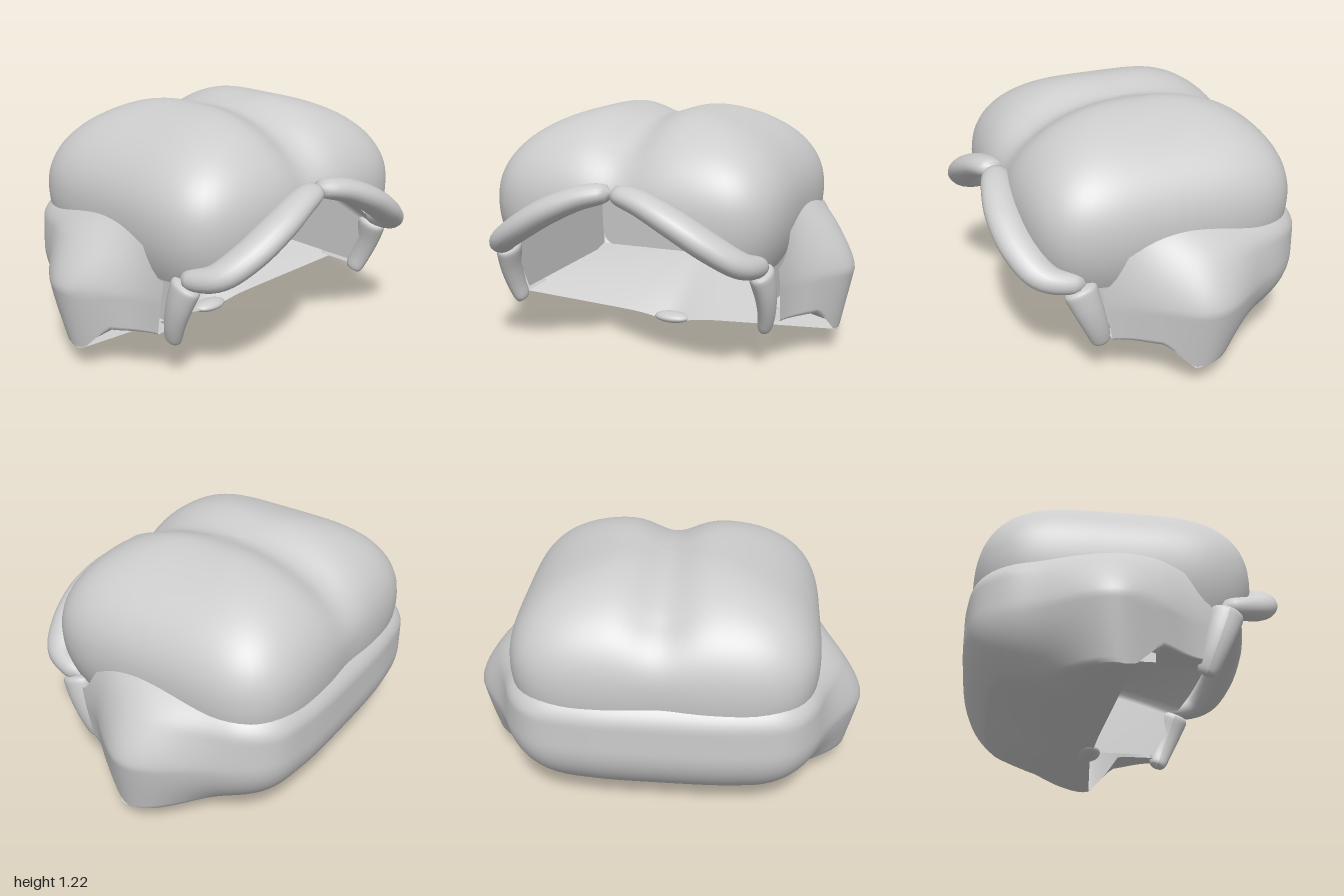
import * as THREE from 'three';

const { lerp, smoothstep, clamp } = THREE.MathUtils;
const gauss = (v, w) => Math.exp(-((v / w) ** 2));

export function createModel() {
  const group = new THREE.Group();
  const grey = new THREE.MeshStandardMaterial({ color: 0xcccccc, side: THREE.DoubleSide });
  grey.name = 'hair grey';

  const add = (name, geometry) => {
    const mesh = new THREE.Mesh(geometry, grey);
    mesh.name = name;
    group.add(mesh);
    return mesh;
  };

  // Smooth surface from a rule: fn(u, v) gives [x, y, z] for u, v in 0..1
  const grid = (fn, nu, nv) => {
    const pos = [], idx = [];
    for (let i = 0; i <= nu; i++) {
      for (let j = 0; j <= nv; j++) {
        pos.push(...fn(i / nu, j / nv));
        if (i < nu && j < nv) {
          const a = i * (nv + 1) + j, b = a + nv + 1;
          idx.push(a, a + 1, b, b, a + 1, b + 1);
        }
      }
    }
    const g = new THREE.BufferGeometry();
    g.setAttribute('position', new THREE.Float32BufferAttribute(pos, 3));
    g.setIndex(idx);
    g.computeVertexNormals();
    return g;
  };

  // Tapered strand with rounded ends along a curve; kx and kz widen its section
  const strand = (points, radius, kx, kz) => {
    const n = 36;
    const curve = new THREE.CatmullRomCurve3(points.map((p) => new THREE.Vector3(...p)));
    const frames = curve.computeFrenetFrames(n);
    return grid((u, v) => {
      const k = Math.round(u * n), a = v * Math.PI * 2;
      const r = radius(u) * Math.sqrt(Math.max(0, 1 - (2 * u - 1) ** 16));
      const p = curve.getPointAt(u);
      const o = frames.normals[k].clone().multiplyScalar(Math.cos(a) * r)
        .addScaledVector(frames.binormals[k], Math.sin(a) * r);
      return [p.x + o.x * kx, p.y + o.y, p.z + o.z * kz];
    }, n, 20);
  };

  // Crown: boxy two-lobed dome with an arched front hem
  const base = 0.76, height = 0.475;
  const crown = (u, v) => {
    const a = u * Math.PI * 2, c = Math.cos(a), s = Math.sin(a);
    const plan = (Math.abs(c) ** 4.5 + Math.abs(s) ** 4.5) ** (-1 / 4.5);
    const px = 0.765 * c * plan, pz = -0.055 + 0.695 * s * plan;
    const arch = 0.88 - 0.38 * Math.min(1, Math.abs(px) / 0.7) ** 1.3;
    const rim = lerp(0.6, arch, smoothstep(pz, 0.1, 0.3));
    const h = (rim - base) / height;
    const t = lerp(h > 0 ? Math.asin(h ** 1.1) : h, Math.PI / 2, v);
    const y = base + height * (t > 0 ? Math.sin(t) ** 0.909 : t);
    const r = t > 0 ? Math.max(0, Math.cos(t)) ** 0.909 : 1 - 0.27 * t * t;
    const x = px * r, groove = gauss(x, 0.14);
    const z = -0.055 + (pz + 0.055) * r * (1 - (s > 0 ? 0.045 : 0.015) * groove);
    return [x, y - 0.065 * groove * clamp((y - 0.8) / 0.3, 0, 1), z];
  };
  add('crown', grid(crown, 112, 40));

  // Plan outline of the lower hair, from the left temple round the back
  const half = [[0.71, 0.36], [0.735, 0.1], [0.76, -0.1], [0.755, -0.4], [0.725, -0.6], [0.62, -0.72], [0.4, -0.768]];
  const outline = new THREE.CatmullRomCurve3(
    [...half, [0, -0.78], ...half.slice().reverse().map(([x, z]) => [-x, z])]
      .map(([x, z]) => new THREE.Vector3(x, 0, z)));

  // Side and back wall, bulging at the cheeks and rounded under at the back
  const wallPoint = (u, v) => {
    const p = outline.getPointAt(u), z0 = p.z;
    const top = z0 > 0.13 ? 0.785 - 0.27 * smoothstep(z0, 0.13, 0.37) : lerp(0.69, 0.785, (z0 + 0.78) / 0.91);
    const bottom = z0 > -0.03 ? lerp(0.11, 0.24, clamp((z0 + 0.03) / 0.13, 0, 1))
      : lerp(0.11, 0.18, (-z0 - 0.03) / 0.75);
    const y = lerp(top, bottom, v);
    const rise = y > 0.42 ? Math.max(0, 1 - ((y - 0.42) / 0.36) ** 1.5) : 1 - 0.8 * (0.42 - y);
    const bulge = 0.24 * rise * gauss(z0 + 0.1, 0.32);
    const under = Math.max(0, (v - 0.45) / 0.55) ** 2.2 * smoothstep(-z0, 0.05, 0.6);
    const tuck = 1 - 0.07 * Math.max(0, 1 - v / 0.2) ** 2 * smoothstep(-z0, -0.2, 0.4);
    const forward = z0 > 0.1 ? -0.05 * v * smoothstep(z0, 0.1, 0.36) : 0;
    return [
      (p.x + Math.sign(p.x) * bulge * smoothstep(Math.abs(p.x), 0.4, 0.7)) * tuck * (1 - 0.15 * under),
      y,
      z0 * tuck * (1 - 0.17 * under) + forward,
    ];
  };

  // Front lip of the underside
  const lip = (x) => {
    const d = Math.min(1, Math.abs(x) / 0.93);
    return [x, 0.03 + 0.085 * d - 0.022 * gauss(x, 0.13), -0.12 + 0.09 * d];
  };

  // Lower hair: the wall continues into the underside, up to the lip and temples
  const split = 0.8;
  add('lowerHair', grid((u, v) => {
    if (v <= split) return wallPoint(u, v / split);
    const e = wallPoint(u, 1), w = (v - split) / (1 - split);
    const q = e[2] < -0.03 ? lip(e[0])
      : [lerp(e[0], Math.sign(e[0]) * 0.64, smoothstep(e[2], 0.06, 0.12)), e[1], e[2]];
    const sag = 0.08 * Math.sin(w * Math.PI) * Math.hypot(q[1] - e[1], Math.min(0, e[2] - q[2]));
    return [lerp(e[0], q[0], w), lerp(e[1], q[1], w) - sag, lerp(e[2], q[2], w)];
  }, 112, 40));

  // Inner floor behind the lip
  add('innerFloor', grid((u, v) => {
    const s = u * 2 - 1, f = lip(s * 0.92);
    return [lerp(s * 0.64, f[0], v), lerp(0.28, f[1], v) + 0.02 * Math.sin(v * Math.PI), lerp(-0.6, f[2], v)];
  }, 40, 10));

  // Inner lining: side walls and ceiling, opening into the arched front
  const lining = (u, v) => {
    const s = u * 2 - 1, a = Math.abs(s);
    const side = clamp((a - 0.6) / 0.4, 0, 1);
    const x = Math.sign(s) * 0.64 * Math.min(1, a / 0.6);
    const ceil = lerp(0.73, 0.86 - 0.34 * (Math.abs(x) / 0.64) ** 1.3, v * v);
    const front = lerp(0.6, 0.45, (Math.abs(x) / 0.64) ** 3) - 0.13 * side;
    return [x, lerp(ceil, 0.26, side), lerp(-0.6, front, v)];
  };
  add('lining', grid(lining, 60, 20));

  // Back wall of the hollow, leaning slightly forward
  const shape = new THREE.Shape();
  shape.moveTo(-0.56, 0.27).lineTo(0.56, 0.27).quadraticCurveTo(0.64, 0.29, 0.64, 0.38).lineTo(0.64, 0.735)
    .lineTo(-0.64, 0.735).lineTo(-0.64, 0.38).quadraticCurveTo(-0.64, 0.29, -0.56, 0.27);
  const back = add('innerBackWall', new THREE.ShapeGeometry(shape));
  back.rotation.x = 0.08;
  back.position.z = -0.62;

  // Rolled fringe and temple locks, mirrored
  for (const [side, m] of [['left', 1], ['right', -1]]) {
    const mirror = (pts) => pts.map(([x, y, z]) => [x * m, y, z]);
    add(side + 'FringeRoll', strand(
      mirror([[0.0, 0.875, 0.63], [0.15, 0.845, 0.665], [0.32, 0.77, 0.685], [0.5, 0.66, 0.66], [0.625, 0.575, 0.59], [0.685, 0.535, 0.42]]),
      (t) => 0.05 + 0.017 * Math.sin(Math.PI * t), 1, 1.4));
    add(side + 'TempleLock', strand(
      mirror([[0.675, 0.53, 0.455], [0.69, 0.4, 0.41], [0.685, 0.29, 0.37], [0.665, 0.19, 0.335]]),
      (t) => lerp(0.088, 0.048, t), 0.7, 1));
  }

  // Small nub at the nape
  const nub = add('napeNub', new THREE.SphereGeometry(1, 20, 12));
  nub.scale.set(0.1, 0.03, 0.06);
  nub.position.set(0, 0.03, -0.13);

  return group;
}
